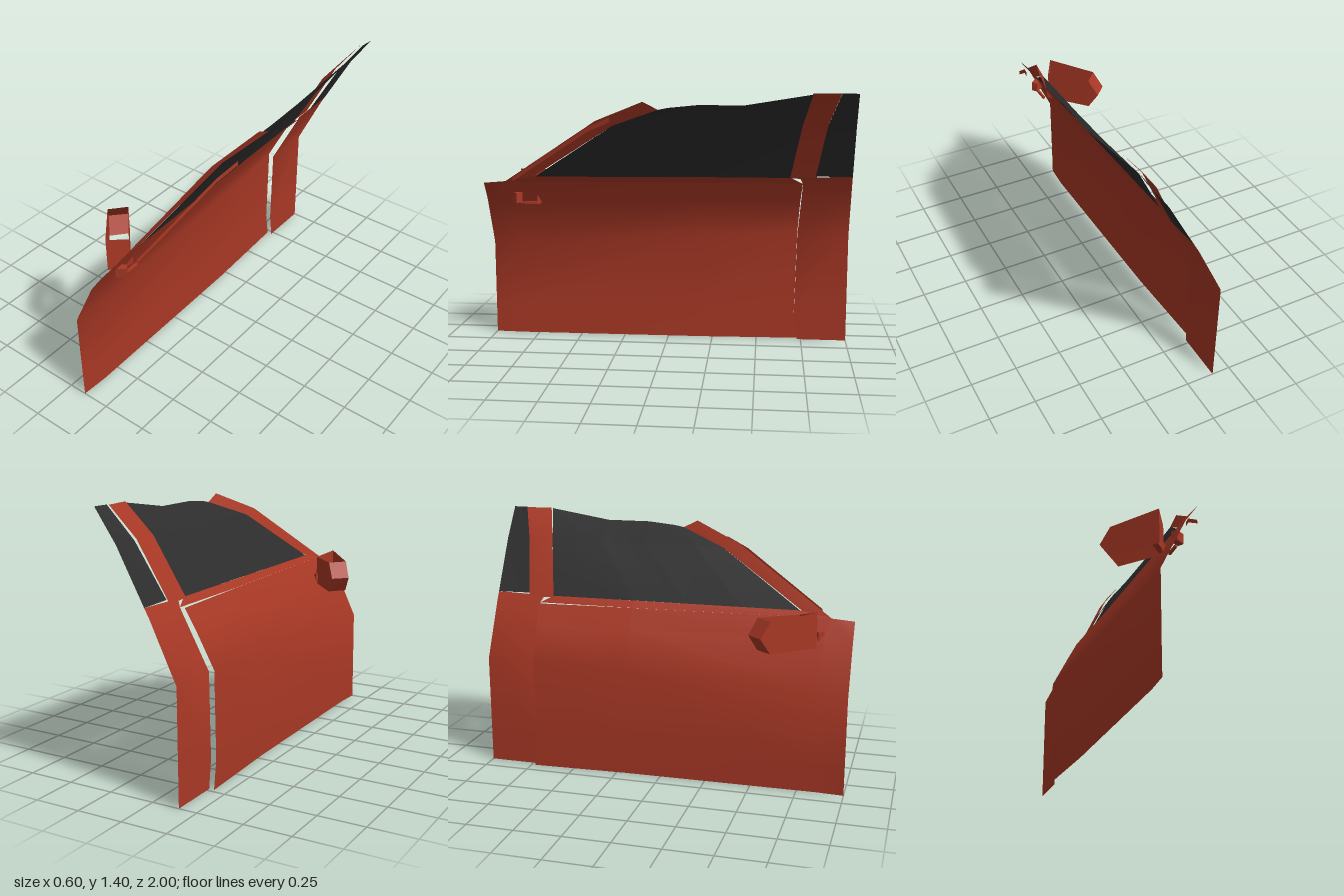
import * as THREE from 'three';

const red = new THREE.MeshStandardMaterial({ color: 0xa93825, side: THREE.DoubleSide });
red.name = 'red paint';
const dark = new THREE.MeshStandardMaterial({ color: 0x2d2d2d, side: THREE.DoubleSide });
dark.name = 'dark glass';

// Smooth sheet through rows of [x, y, z] points; all rows have equal length
function sheet(name, rows, material) {
  const n = rows[0].length;
  const index = [];
  for (let r = 0; r < rows.length - 1; r++) {
    for (let c = 0; c < n - 1; c++) {
      const a = r * n + c, b = a + 1, d = a + n, e = d + 1;
      index.push(a, d, b, b, d, e);
    }
  }
  const g = new THREE.BufferGeometry();
  g.setAttribute('position', new THREE.Float32BufferAttribute(rows.flat(2), 3));
  g.setIndex(index);
  g.computeVertexNormals();
  const mesh = new THREE.Mesh(g, material);
  mesh.name = name;
  return mesh;
}

function box(name, size, pos, turn) {
  const mesh = new THREE.Mesh(new THREE.BoxGeometry(...size), red);
  mesh.position.set(...pos);
  mesh.rotation.y = turn;
  mesh.name = name;
  return mesh;
}

// Wing mirror: an open-topped housing running forward to the door
function mirror() {
  const group = new THREE.Group();
  group.name = 'wingMirror';
  // plan lines of the outer and inner wall, back to front
  const walls = [
    [[-0.30, 0.565], [-0.26, 0.61], [-0.08, 0.82]],
    [[-0.23, 0.49], [-0.19, 0.53], [-0.02, 0.72]],
  ];
  const at = (p, y) => [p[0], y, p[1]];
  const low = [0.855, 0.77, 0.77], high = [0.855, 0.94, 0.96];
  walls.forEach((w, i) => group.add(sheet(i ? 'innerWall' : 'outerWall', [
    w.map((p, k) => at(p, low[k])),
    w.map((p, k) => at(p, high[k] - (i && k === 2 ? 0.03 : 0))),
  ], red)));
  const [a, b] = walls;
  // wedge-shaped back end
  group.add(sheet('upperCap', [[at(a[0], 0.855), at(b[0], 0.855)], [at(a[1], 0.94), at(b[1], 0.94)]], red));
  group.add(sheet('lowerCap', [[at(a[1], 0.77), at(b[1], 0.77)], [at(a[0], 0.855), at(b[0], 0.855)]], red));
  // front end wall
  group.add(sheet('endWall', [
    [at(a[2], 0.77), at(b[2], 0.77)],
    [at(a[2], 0.96), at(b[2], 0.93)],
  ], red));
  return group;
}

export function createModel() {
  const model = new THREE.Group();
  model.name = 'carSide';

  // Door skin, sill to beltline, rear to front
  model.add(sheet('doorPanel', [
    [[-0.178, 0, -0.73], [-0.155, 0, -0.2], [-0.142, 0, 0.85], [-0.15, 0, 1]],
    [[-0.18, 0.15, -0.71], [-0.156, 0.15, -0.2], [-0.142, 0.15, 0.85], [-0.15, 0.15, 1]],
    [[-0.18, 0.61, -0.72], [-0.155, 0.59, -0.2], [-0.142, 0.54, 0.85], [-0.148, 0.53, 1]],
    [[-0.085, 0.8, -0.73], [-0.055, 0.8, -0.2], [-0.015, 0.8, 0.85], [-0.02, 0.8, 1]],
    [[-0.03, 0.905, -0.74], [-0.002, 0.905, -0.2], [0.04, 0.905, 0.88], [0.045, 0.895, 1]],
  ], red));

  // Rear body panel
  model.add(sheet('rearPanel', [
    [[-0.15, 0, -1], [-0.15, 0, -0.73]],
    [[-0.15, 0.15, -1], [-0.15, 0.15, -0.71]],
    [[-0.15, 0.6, -1], [-0.15, 0.6, -0.72]],
    [[-0.005, 0.905, -1], [-0.002, 0.905, -0.74]],
    [[0.02, 0.95, -1], [0.02, 0.942, -0.72]],
  ], red));

  // Strip between door and window
  model.add(sheet('beltStrip', [
    [[-0.002, 0.905, -0.74], [0, 0.905, -0.2], [0.04, 0.905, 0.88]],
    [[0.02, 0.942, -0.67], [0.03, 0.94, -0.2], [0.055, 0.935, 0.72]],
  ], red));

  // Front pillar and the narrow strip ahead of it
  model.add(sheet('frontPillar', [
    [[0.04, 0.905, 0.88], [0.055, 0.935, 0.72]],
    [[0.205, 1.25, 0.35], [0.205, 1.225, 0.26]],
    [[0.3, 1.355, 0.09], [0.3, 1.315, 0.01]],
  ], red));
  model.add(sheet('windscreenStrip', [
    [[0.12, 0.915, 0.82], [0.26, 1.195, 0.385], [0.3, 1.25, 0.26]],
    [[0.12, 0.935, 0.82], [0.26, 1.22, 0.385], [0.3, 1.275, 0.26]],
  ], red));

  // Middle pillar, set slightly outside the glass
  model.add(sheet('middlePillar', [
    [[0.01, 0.935, -0.81], [0.01, 0.935, -0.665]],
    [[0.155, 1.24, -0.86], [0.157, 1.24, -0.72]],
    [[0.268, 1.4, -0.915], [0.28, 1.4, -0.77]],
  ], red));

  // Door glass and rear side glass
  model.add(sheet('doorWindow', [
    [[0.02, 0.94, -0.67], [0.032, 0.94, -0.2], [0.04, 0.938, 0.1], [0.047, 0.936, 0.4], [0.055, 0.935, 0.71]],
    [[0.17, 1.23, -0.725], [0.19, 1.23, -0.43], [0.2, 1.23, -0.19], [0.205, 1.23, 0.1], [0.205, 1.225, 0.26]],
    [[0.3, 1.395, -0.77], [0.3, 1.34, -0.43], [0.3, 1.34, -0.19], [0.3, 1.325, -0.04], [0.3, 1.315, 0.01]],
  ], dark));
  model.add(sheet('rearWindow', [
    [[0.02, 0.95, -1], [0.03, 0.95, -0.805]],
    [[0.17, 1.23, -1], [0.17, 1.23, -0.855]],
    [[0.287, 1.4, -1], [0.28, 1.4, -0.915]],
  ], dark));

  // Mirror, its mount through the door and the small inner lever
  model.add(mirror());
  model.add(box('mirrorMount', [0.03, 0.05, 0.11], [-0.055, 0.805, 0.745], -0.72));
  model.add(box('innerHandle', [0.055, 0.055, 0.035], [0.012, 0.813, 0.82], 0.6));
  model.add(box('handleLever', [0.012, 0.014, 0.09], [0.015, 0.785, 0.755], 0));

  return model;
}
